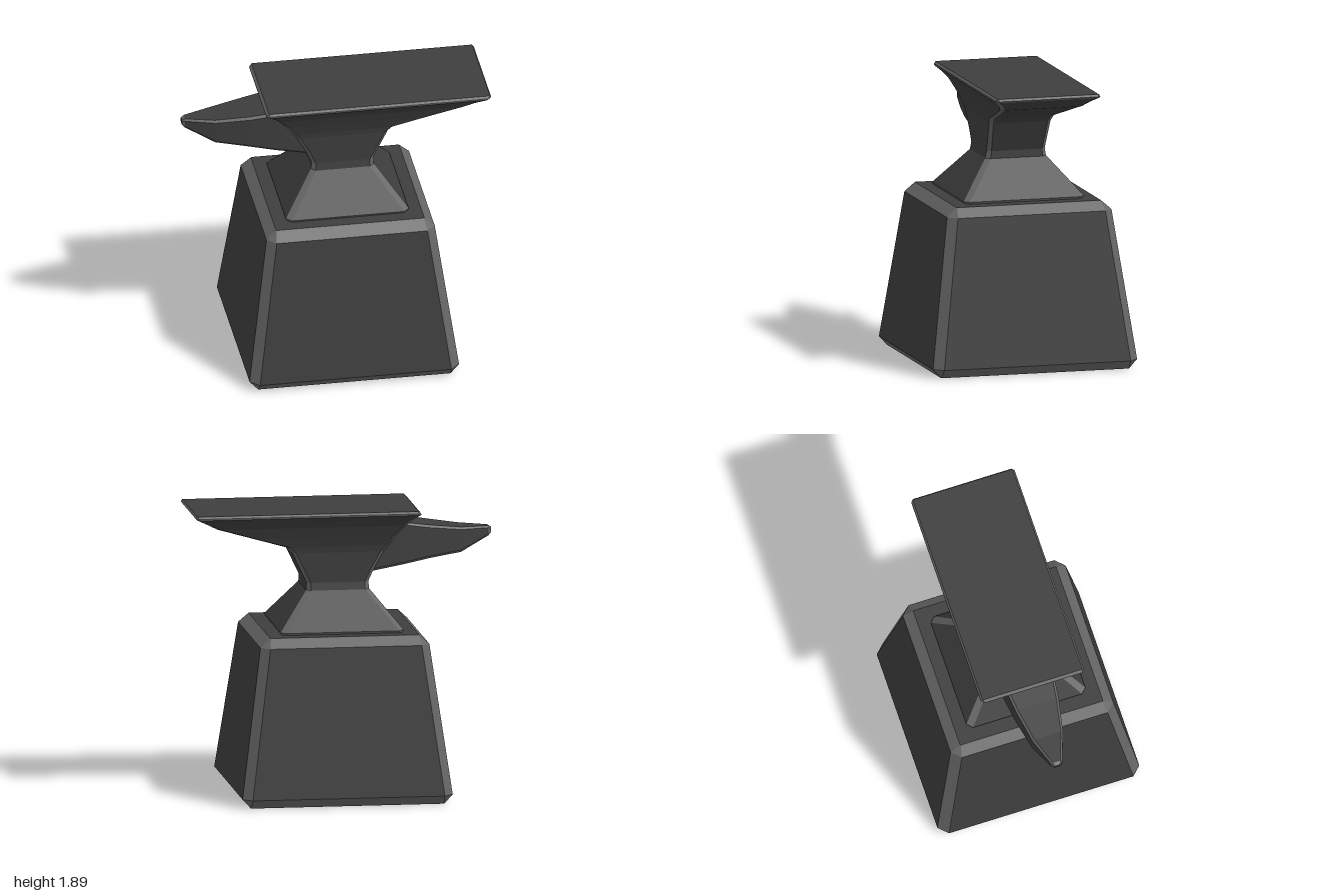
import * as THREE from 'three';

// Rectangle u0..u1 by v0..v1 with corners cut by c, ordered from +u towards +v
function cutRect(u0, u1, v0, v1, c) {
  return [
    [u1, v0 + c], [u1, v1 - c], [u1 - c, v1], [u0 + c, v1],
    [u0, v1 - c], [u0, v0 + c], [u0 + c, v0], [u1 - c, v0],
  ];
}

function facets(pos) {
  const geometry = new THREE.BufferGeometry();
  geometry.setAttribute('position', new THREE.Float32BufferAttribute(pos, 3));
  geometry.computeVertexNormals();
  return geometry;
}

// Closed faceted solid through matching rings, split into its faces and its bevels.
// Cut corners are bevels, and so are the whole bands listed in bevelBands.
function loft(rings, bevelBands) {
  const faces = [], bevels = [];
  const tri = (out, ...pts) => pts.forEach((p) => out.push(...p));
  const n = rings[0].length;
  for (let k = 0; k < rings.length - 1; k++) {
    const a = rings[k], b = rings[k + 1];
    for (let i = 0; i < n; i++) {
      const j = (i + 1) % n;
      const out = i % 2 === 1 || bevelBands.includes(k) ? bevels : faces;
      tri(out, a[i], b[i], a[j]);
      tri(out, b[i], b[j], a[j]);
    }
  }
  const first = rings[0], last = rings[rings.length - 1];
  for (let i = 1; i < n - 1; i++) {
    tri(faces, first[0], first[i], first[i + 1]);
    tri(faces, last[0], last[i + 1], last[i]);
  }
  return [facets(faces), facets(bevels)];
}

// Rows: [y, x min, x max, half depth, corner cut]
const upright = (rows) => rows.map(([y, x0, x1, d, c]) =>
  cutRect(x0, x1, -d, d, c).map(([x, z]) => [x, y, z]));

// Rows: [x, y min, y max, half depth, corner cut]
const sideways = (rows) => rows.map(([x, y0, y1, d, c]) =>
  cutRect(-d, d, y0, y1, c).map(([z, y]) => [x, y, z]));

export function createModel() {
  const group = new THREE.Group();
  group.name = 'anvil';
  const dark = new THREE.MeshStandardMaterial({ color: 0x3e3e3e, flatShading: true });
  const worn = new THREE.MeshStandardMaterial({ color: 0x666666, flatShading: true });
  const add = (name, rings, bevelBands) => {
    const [faces, bevels] = loft(rings, bevelBands);
    const body = new THREE.Mesh(faces, dark);
    body.name = name;
    const edges = new THREE.Mesh(bevels, worn);
    edges.name = `${name}Bevels`;
    group.add(body, edges);
  };

  // Tapered block with bevelled edges
  add('baseBlock', upright([
    [0, -0.6, 0.68, 0.64, 0.004],
    [0.06, -0.655, 0.735, 0.695, 0.06],
    [1.04, -0.52, 0.597, 0.56, 0.058],
    [1.1, -0.455, 0.53, 0.492, 0.004],
  ]), [0, 2]);

  // Foot, waist, heel and flat face with its rim
  add('anvilBody', upright([
    [1.09, -0.355, 0.43, 0.395, 0.02],
    [1.115, -0.37, 0.445, 0.41, 0.035],
    [1.36, -0.17, 0.247, 0.207, 0.03],
    [1.41, -0.165, 0.245, 0.198, 0.026],
    [1.5, -0.205, 0.288, 0.203, 0.025],
    [1.61, -0.265, 0.34, 0.21, 0.024],
    [1.65, -0.295, 0.38, 0.22, 0.024],
    [1.72, -0.345, 0.615, 0.247, 0.024],
    [1.79, -0.41, 0.845, 0.28, 0.024],
    [1.83, -0.447, 0.92, 0.312, 0.024],
    [1.868, -0.492, 0.99, 0.356, 0.02],
    [1.878, -0.49, 1.0, 0.356, 0.018],
    [1.892, -0.476, 0.99, 0.344, 0.004],
  ]), [0, 10, 11]);

  // Tapered horn running into the body
  add('horn', sideways([
    [-1, 1.685, 1.718, 0.022, 0.006],
    [-0.98, 1.665, 1.73, 0.038, 0.012],
    [-0.79, 1.572, 1.737, 0.106, 0.015],
    [-0.57, 1.542, 1.764, 0.148, 0.016],
    [-0.4, 1.51, 1.79, 0.168, 0.016],
    [-0.15, 1.466, 1.81, 0.18, 0.016],
  ]), [0]);

  return group;
}
